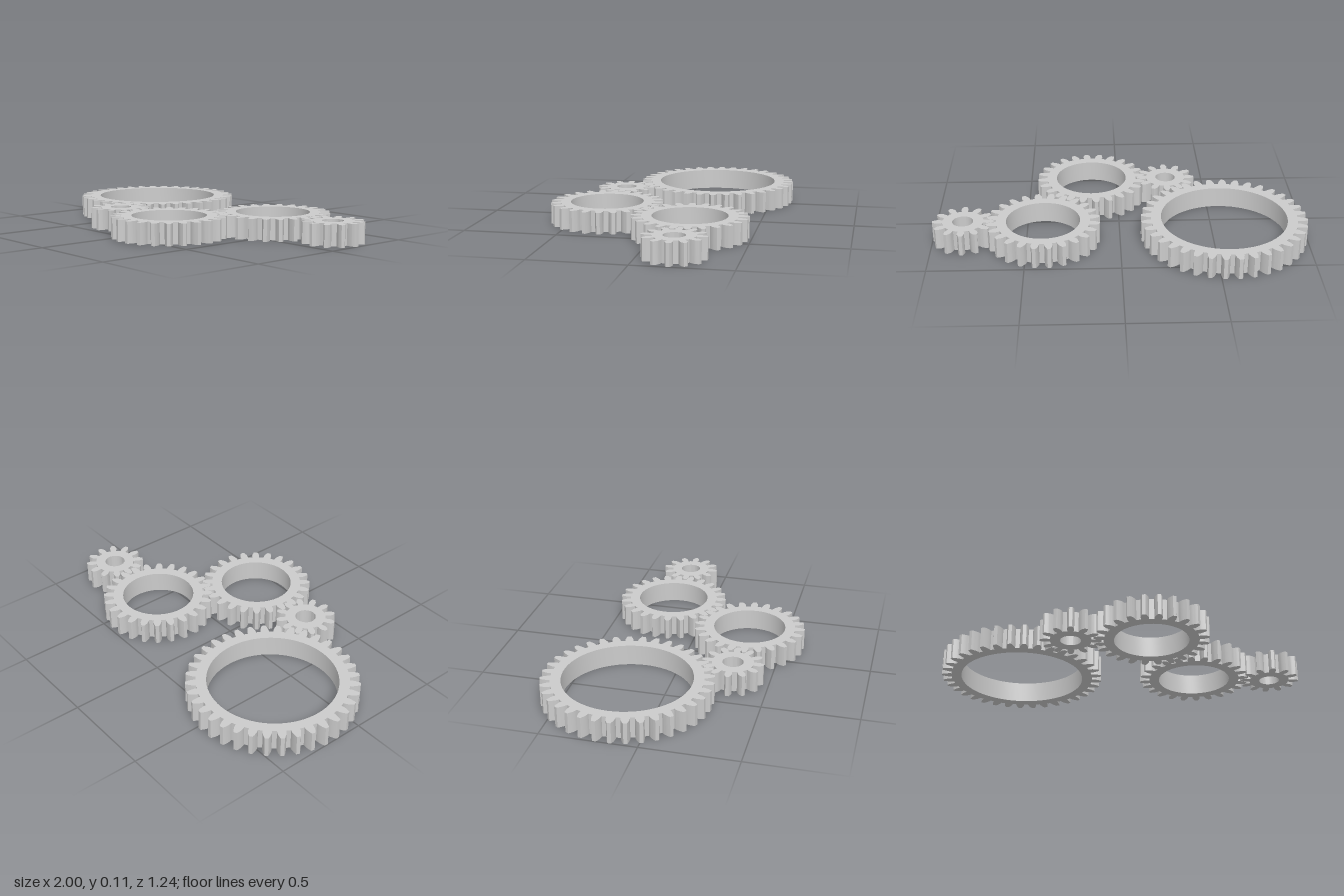
import * as THREE from 'three';
import { toCreasedNormals } from 'three/addons/utils/BufferGeometryUtils.js';

const MODULE = 0.0235;            // pitch diameter / tooth count
const HEIGHT = 0.113;
const RIM = 0.054;                // ring thickness below the teeth
const PRESSURE = THREE.MathUtils.degToRad(20);
const FLANK_STEPS = 5;

const involute = (a) => Math.tan(a) - a;

// Spur gear ring with involute teeth; phase is the angle of one tooth in degrees, from +x towards +z
function gearGeometry(teeth, phase) {
  const pitch = teeth * MODULE / 2;
  const base = pitch * Math.cos(PRESSURE);
  const tip = pitch + 0.9 * MODULE;
  const root = pitch - 1.35 * MODULE;
  const halfAtPitch = Math.PI / (2 * teeth) * 0.97;

  // Half tooth as [radius, half angle], root to tip
  const flank = [];
  const start = Math.max(base, root);
  const halfAt = (r) => halfAtPitch + involute(PRESSURE) - involute(Math.acos(Math.min(1, base / r)));
  flank.push([root, halfAt(start)]);
  for (let i = 0; i <= FLANK_STEPS; i++) {
    const r = start + (tip - start) * i / FLANK_STEPS;
    flank.push([r, halfAt(r)]);
  }

  const points = [];
  const add = (r, a) => points.push(new THREE.Vector2(r * Math.cos(a), r * Math.sin(a)));
  for (let t = 0; t < teeth; t++) {
    const mid = THREE.MathUtils.degToRad(phase) + t * 2 * Math.PI / teeth;
    flank.forEach(([r, h]) => add(r, mid - h));
    add(tip, mid);
    [...flank].reverse().forEach(([r, h]) => add(r, mid + h));
    add(root, mid + Math.PI / teeth);
  }

  const shape = new THREE.Shape(points);
  shape.holes.push(new THREE.Path().absarc(0, 0, root - RIM, 0, Math.PI * 2, true));
  const geometry = new THREE.ExtrudeGeometry(shape, { depth: HEIGHT, bevelEnabled: false, curveSegments: 36 });
  geometry.rotateX(Math.PI / 2);
  geometry.translate(0, HEIGHT, 0);
  return toCreasedNormals(geometry, 0.4);
}

export function createModel() {
  const group = new THREE.Group();
  group.name = 'gearTrain';
  const material = new THREE.MeshStandardMaterial({ color: 0xcccccc });

  // Meshing gears, from the large ring to the last pinion
  const gears = [
    { name: 'largeRingGear', teeth: 36, x: -0.556, z: -0.179, phase: 5 },
    { name: 'firstPinion', teeth: 12, x: -0.273, z: 0.308, phase: -1 },
    { name: 'frontRingGear', teeth: 24, x: 0.149, z: 0.315, phase: -5 },
    { name: 'backRingGear', teeth: 24, x: 0.409, z: -0.185, phase: 7.5 },
    { name: 'lastPinion', teeth: 12, x: 0.834, z: -0.185, phase: 0 },
  ];
  for (const { name, teeth, x, z, phase } of gears) {
    const gear = new THREE.Mesh(gearGeometry(teeth, phase), material);
    gear.name = name;
    gear.position.set(x, 0, z);
    group.add(gear);
  }
  return group;
}
